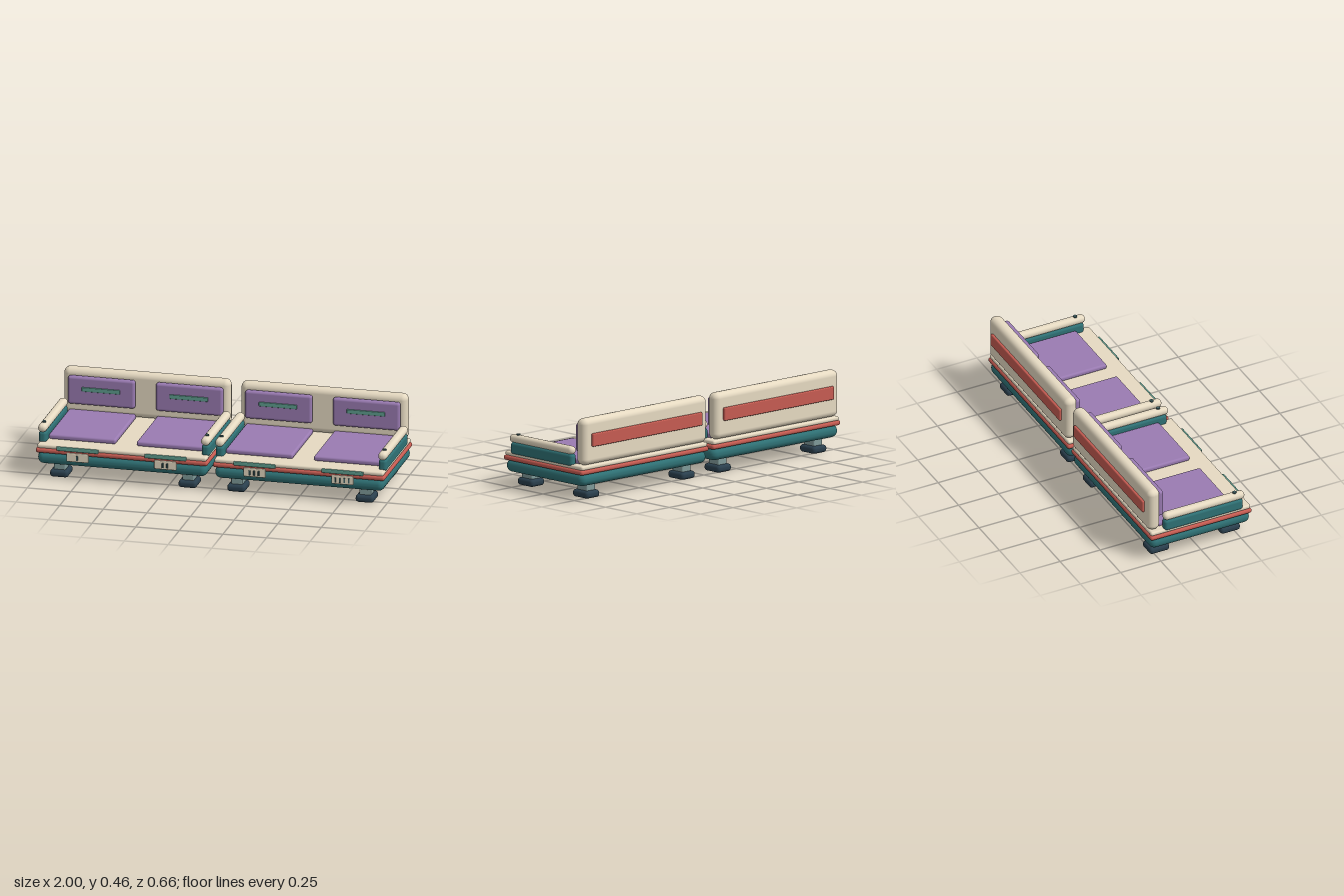
import * as THREE from 'three';
import { RoundedBoxGeometry } from 'three/addons/geometries/RoundedBoxGeometry.js';

const mat = (color) => new THREE.MeshStandardMaterial({ color });
const cream = mat(0xe6dac2), teal = mat(0x2f7276), red = mat(0xc65c52), purple = mat(0x9a7bb2);
const dark = mat(0x2a3f4d), post = mat(0x7f9a99), accent = mat(0x5f9f90), ink = mat(0x3f5f62);

// Rounded block given by its x centre and width, and its y and z ranges
function block(parent, name, material, x, width, [y0, y1], [z0, z1], radius) {
  const h = y1 - y0, d = z1 - z0;
  const r = Math.min(radius, 0.49 * Math.min(width, h, d));
  const mesh = new THREE.Mesh(new RoundedBoxGeometry(width, h, d, 3, r), material);
  mesh.position.set(x, (y0 + y1) / 2, (z0 + z1) / 2);
  mesh.name = name;
  parent.add(mesh);
  return mesh;
}

// One two-seat bench; firstMark is the number of bars on its first plate
function createBench(firstMark) {
  const bench = new THREE.Group();

  // Stacked platform
  block(bench, 'base', teal, 0, 0.97, [0.08, 0.152], [-0.305, 0.315], 0.034);
  block(bench, 'trimBand', red, 0, 0.985, [0.147, 0.175], [-0.31, 0.32], 0.013);
  block(bench, 'seatDeck', cream, 0, 0.97, [0.173, 0.198], [-0.305, 0.315], 0.011);

  // Backrest with rear panel
  block(bench, 'backrest', cream, 0, 0.955, [0.2, 0.464], [-0.315, -0.24], 0.034);
  block(bench, 'rearPanel', red, 0, 0.845, [0.305, 0.38], [-0.33, -0.312], 0.007);

  for (const side of [-1, 1]) {
    // Armrest
    const armX = side * 0.467;
    block(bench, 'armBody', teal, armX, 0.046, [0.185, 0.256], [-0.222, 0.268], 0.018);
    block(bench, 'armCap', cream, armX, 0.05, [0.252, 0.298], [-0.223, 0.279], 0.022);
    const button = new THREE.Mesh(new THREE.CylinderGeometry(0.011, 0.011, 0.008, 16), ink);
    button.position.set(armX, 0.3, 0.221);
    button.name = 'armButton';
    bench.add(button);

    // Seat and back cushions
    const seatX = side * 0.252;
    block(bench, 'seatCushion', purple, seatX, 0.385, [0.196, 0.226], [-0.245, 0.214], 0.012);
    block(bench, 'backCushion', purple, seatX, 0.385, [0.264, 0.428], [-0.242, -0.206], 0.016);
    block(bench, 'cushionStripe', accent, seatX, 0.22, [0.345, 0.37], [-0.208, -0.199], 0.004);

    // Front strip and numbered plate with bars
    block(bench, 'frontStrip', accent, seatX, 0.24, [0.17, 0.193], [0.312, 0.325], 0.005);
    block(bench, 'plate', cream, seatX, 0.125, [0.112, 0.163], [0.312, 0.327], 0.005);
    const count = firstMark + (side > 0 ? 1 : 0);
    for (let i = 0; i < count; i++) {
      const x = seatX + (i - (count - 1) / 2) * 0.026;
      block(bench, 'plateBar', ink, x, 0.01, [0.122, 0.151], [0.325, 0.332], 0.003);
    }

    // Legs, front and rear
    for (const z of [0.225, -0.216]) {
      block(bench, 'legPost', post, side * 0.368, 0.066, [0.03, 0.085], [z - 0.04, z + 0.04], 0.006);
      block(bench, 'foot', dark, side * 0.368, 0.105, [0, 0.042], [z - 0.061, z + 0.061], 0.018);
    }
  }
  return bench;
}

export function createModel() {
  const model = new THREE.Group();
  model.name = 'benchPair';
  [-1, 1].forEach((side, i) => {
    const bench = createBench(1 + 2 * i);
    bench.name = side < 0 ? 'rightBench' : 'leftBench';
    bench.position.x = side * 0.5075;
    model.add(bench);
  });
  return model;
}
